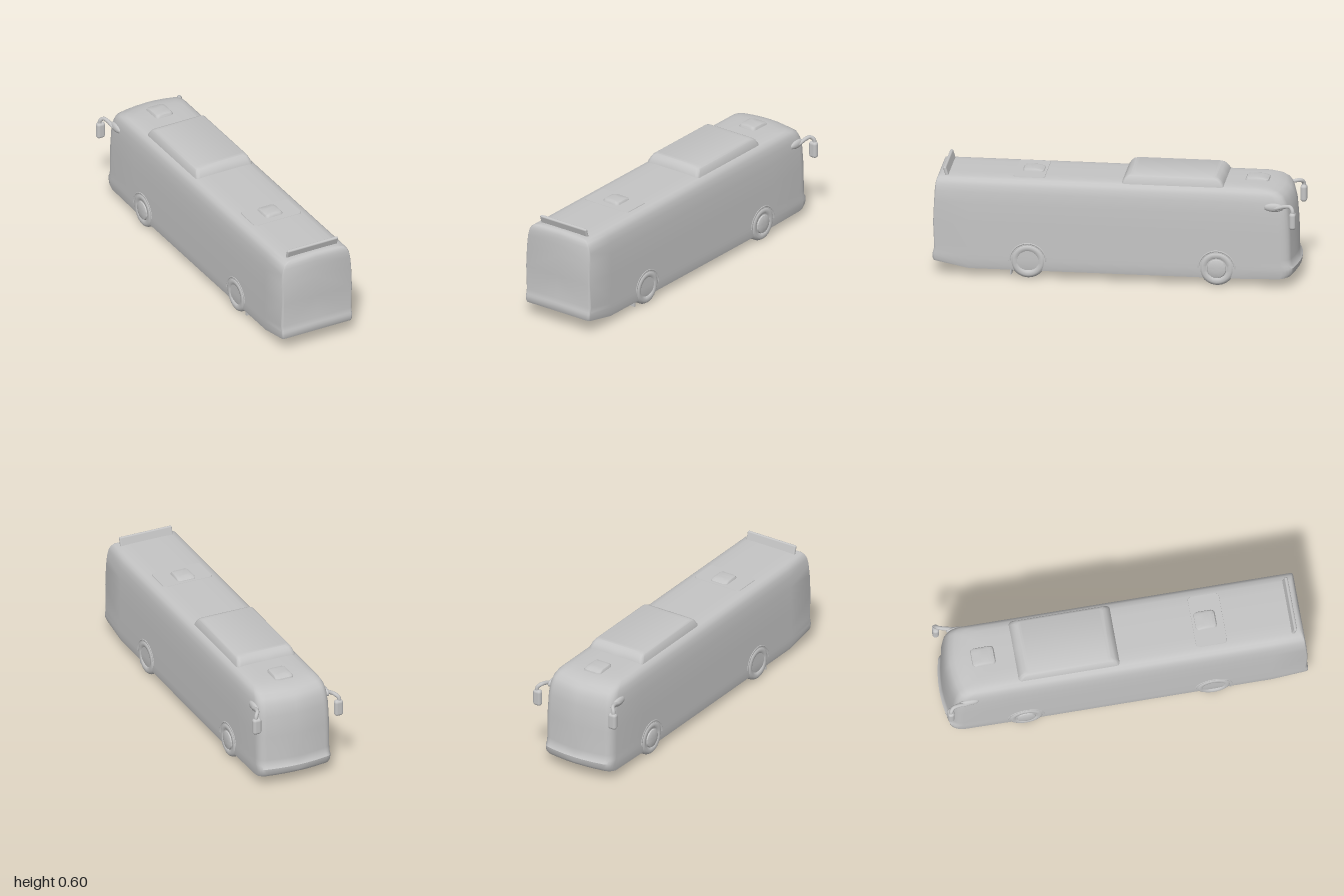
import * as THREE from 'three';
import { toCreasedNormals } from 'three/addons/utils/BufferGeometryUtils.js';
import { RoundedBoxGeometry } from 'three/addons/geometries/RoundedBoxGeometry.js';

// Half of a plan outline (x >= 0), from the -z centre round to the +z centre
function halfOutline(w, z0, z1, { bow, frontR, sideR, backR, sides }) {
  const pts = [];
  for (const t of [0, 0.35, 0.7]) pts.push([t * (w - sideR), z0 + bow * t * t]);
  for (let i = 0; i <= 5; i++) {
    const a = (i / 5) * Math.PI / 2;
    pts.push([w - sideR + sideR * Math.sin(a), z0 + bow + frontR * (1 - Math.cos(a))]);
  }
  for (const z of sides) pts.push([w, z]);
  for (let i = 0; i <= 4; i++) {
    const a = (i / 4) * Math.PI / 2;
    pts.push([w - backR * (1 - Math.cos(a)), z1 - backR * (1 - Math.sin(a))]);
  }
  pts.push([0, z1]);
  return pts;
}

// Stack outlines; each level is [y, halfWidth, zMin, zMax]
function stack(levels, opts, yRule = (y) => y) {
  const pos = [], idx = [];
  let n = 0;
  for (const [y, w, z0, z1] of levels) {
    const half = halfOutline(w, z0, z1, opts);
    n = half.length;
    for (const [x, z] of half) pos.push(x, yRule(y, z), z);
    for (const [x, z] of half) pos.push(-x, yRule(y, z), z);
  }
  const quad = (a, b, c, d) => idx.push(a, b, c, a, c, d);
  const top = (levels.length - 1) * 2 * n;
  for (let i = 0; i < n - 1; i++) {
    for (let k = 0; k < levels.length - 1; k++) {
      const a = k * 2 * n + i, d = a + 2 * n;
      quad(a, d, d + 1, a + 1);
      quad(a + n, a + n + 1, d + n + 1, d + n);
    }
    quad(top + i, top + n + i, top + n + i + 1, top + i + 1);
    quad(i, i + 1, n + i + 1, n + i);
  }
  const g = new THREE.BufferGeometry();
  g.setAttribute('position', new THREE.Float32BufferAttribute(pos, 3));
  g.setIndex(idx);
  return toCreasedNormals(g, 0.65);
}

export function createModel() {
  const bus = new THREE.Group();
  bus.name = 'bus';
  const grey = new THREE.MeshStandardMaterial({ color: 0xc4c4c4 });
  grey.name = 'light grey';
  const add = (name, geo, x = 0, y = 0, z = 0, parent = bus) => {
    const m = new THREE.Mesh(geo, grey);
    m.name = name;
    m.position.set(x, y, z);
    parent.add(m);
    return m;
  };

  // Body: underside sweeps up at both ends
  const floorAt = (z) => 0.045 + 0.2 * Math.max(0, z - 0.8) + 0.2 * Math.max(0, -z - 0.87);
  const liftEnds = (y, z) => {
    if (y >= 0.16) return y;
    const f = floorAt(z);
    return f + (y - 0.045) * (0.16 - f) / 0.115;
  };
  add('body', stack([
    [0.045, 0.214, -0.982, 0.995], [0.065, 0.218, -0.995, 1],
    [0.1, 0.219, -0.998, 1], [0.12, 0.219, -0.986, 0.996],
    [0.16, 0.219, -0.982, 0.991], [0.3, 0.219, -0.98, 0.997],
    [0.42, 0.217, -0.97, 0.992], [0.48, 0.212, -0.957, 0.989],
    [0.515, 0.205, -0.938, 0.986], [0.535, 0.195, -0.91, 0.982],
    [0.548, 0.178, -0.87, 0.976], [0.554, 0.15, -0.83, 0.966],
    [0.556, 0.1, -0.78, 0.95],
  ], { bow: 0.022, frontR: 0.06, sideR: 0.045, backR: 0.012, sides: [-0.65, 0, 0.8] }, liftEnds));

  // Roof units
  const soft = { bow: 0, frontR: 0.02, sideR: 0.02, backR: 0.02, sides: [] };
  add('roofUnit', stack([
    [0.54, 0.176, -0.592, -0.028], [0.558, 0.174, -0.588, -0.032],
    [0.58, 0.166, -0.574, -0.046], [0.592, 0.16, -0.56, -0.058],
    [0.599, 0.148, -0.545, -0.075],
  ], soft));
  const hatch = (name, z0, z1) => add(name, stack([
    [0.545, 0.056, z0, z1], [0.562, 0.053, z0 + 0.006, z1 - 0.004],
    [0.57, 0.048, z0 + 0.025, z1 - 0.01], [0.573, 0.036, z0 + 0.045, z1 - 0.025],
  ], soft));
  hatch('frontRoofHatch', -0.825, -0.69);
  hatch('rearRoofHatch', 0.405, 0.53);
  add('rearRoofPanel', stack([
    [0.545, 0.15, 0.39, 0.57], [0.558, 0.146, 0.395, 0.565],
  ], soft));

  // Tilted bar across the back of the roof
  const bar = add('rearRoofBar', new RoundedBoxGeometry(0.315, 0.058, 0.018, 3, 0.008), 0, 0.571, 0.934);
  bar.rotation.x = 0.3;

  // Wheels: lathe profiles [radius, offset outward]
  const tyre = [[0.03, -0.1], [0.082, -0.1], [0.095, -0.088], [0.097, -0.05],
    [0.096, -0.012], [0.089, 0], [0.078, 0.005], [0.062, 0.003]];
  const rearHub = [[0.052, -0.006], [0.046, -0.022], [0.028, -0.022], [0.024, -0.012], [0, -0.01]];
  const frontHub = [[0.054, -0.003], [0.05, 0.006], [0.042, 0.009], [0.02, 0.012], [0, 0.012]];
  const wheelGeo = (hub) => toCreasedNormals(new THREE.LatheGeometry(
    [[0, -0.1], ...tyre, ...hub].map(([r, h]) => new THREE.Vector2(r, h)), 40), 0.7);
  const axles = [['front', -0.557, wheelGeo(frontHub)], ['rear', 0.477, wheelGeo(rearHub)]];

  for (const s of [1, -1]) {
    const side = s > 0 ? 'left' : 'right';
    for (const [end, z, geo] of axles) {
      const wheel = add(`${side}${end}Wheel`, geo, s * 0.219, 0.099, z);
      wheel.rotation.z = -s * Math.PI / 2;
      // Slim lip round the wheel arch
      const lip = add(`${side}${end}Arch`, new THREE.TorusGeometry(0.1, 0.005, 8, 28, Math.PI), s * 0.217, 0.099, z);
      lip.rotation.y = Math.PI / 2;
    }
    add(`${side}MudFlap`, new THREE.BoxGeometry(0.085, 0.045, 0.01), s * 0.165, 0.038, 0.572);

    // Mirror: curved arm and hanging housing
    const path = new THREE.CatmullRomCurve3([
      [0.206, 0.452, -0.82], [0.219, 0.458, -0.88], [0.226, 0.472, -0.93],
      [0.235, 0.474, -0.962], [0.249, 0.458, -0.976], [0.25, 0.42, -0.976],
    ].map(([x, y, z]) => new THREE.Vector3(s * x, y, z)));
    add(`${side}MirrorArm`, new THREE.TubeGeometry(path, 28, 0.011, 10));
    const root = add(`${side}MirrorBase`, new THREE.SphereGeometry(1, 20, 14), s * 0.212, 0.46, -0.87);
    root.scale.set(0.016, 0.024, 0.055);
    add(`${side}MirrorHousing`, new RoundedBoxGeometry(0.05, 0.095, 0.036, 4, 0.016), s * 0.246, 0.399, -0.977);
  }
  return bus;
}
